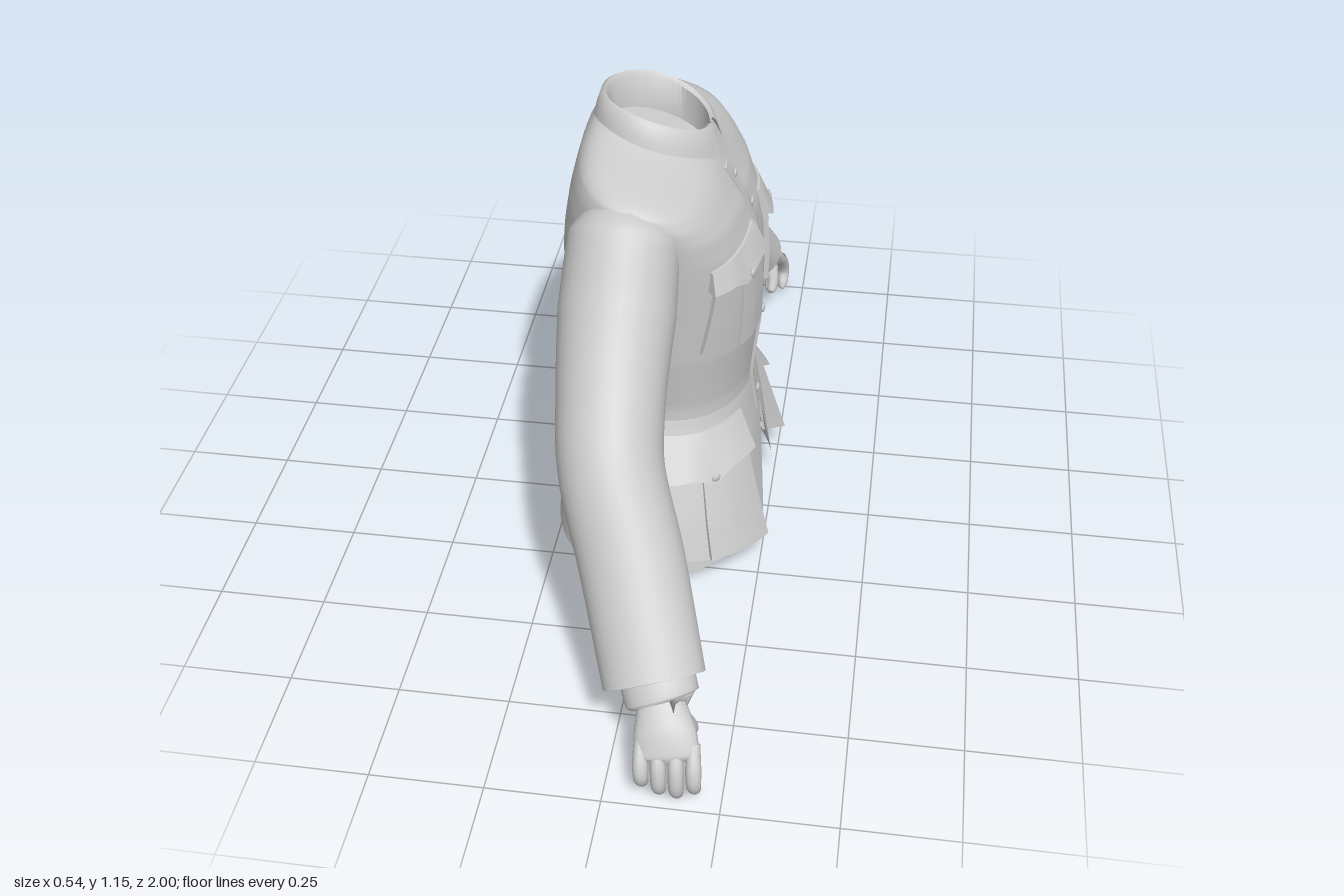
import * as THREE from 'three';
import { mergeVertices, toCreasedNormals } from 'three/addons/utils/BufferGeometryUtils.js';

const cloth = new THREE.MeshStandardMaterial({ color: 0xcccccc, side: THREE.DoubleSide });
const V = (x, y, z) => new THREE.Vector3(x, y, z);
const lerp = THREE.MathUtils.lerp;

// Surface through a grid of points fn(i, j), i around and j along
function grid(fn, nu, nv, crease) {
  const pos = [], idx = [];
  for (let j = 0; j <= nv; j++) for (let i = 0; i <= nu; i++) pos.push(...fn(i, j).toArray());
  for (let j = 0; j < nv; j++) for (let i = 0; i < nu; i++) {
    const a = j * (nu + 1) + i, b = a + nu + 1;
    idx.push(a, b, a + 1, a + 1, b, b + 1);
  }
  let g = new THREE.BufferGeometry();
  g.setAttribute('position', new THREE.Float32BufferAttribute(pos, 3));
  g.setIndex(idx);
  g = mergeVertices(g, 1e-5);
  g.computeVertexNormals();
  return crease ? toCreasedNormals(g, crease) : g;
}

function add(parent, name, geometry) {
  const m = new THREE.Mesh(geometry, cloth);
  m.name = name;
  parent.add(m);
  return m;
}

// Body sections: height, back x, front x, half width, forward tilt, squareness
const BODY = [
  [0.02, -0.27, 0.262, 0.362, 0, 2.2], [0.1, -0.262, 0.25, 0.35, 0, 2.2], [0.2, -0.25, 0.235, 0.33, 0, 2.2],
  [0.3, -0.235, 0.222, 0.301, 0, 2.2], [0.37, -0.217, 0.21, 0.272, 0, 2.2], [0.405, -0.202, 0.205, 0.256, 0, 2.2],
  [0.43, -0.178, 0.2, 0.246, 0, 2.2], [0.46, -0.179, 0.2, 0.246, 0, 2.2], [0.52, -0.192, 0.206, 0.256, 0, 2.2],
  [0.6, -0.215, 0.215, 0.27, 0, 2.25], [0.7, -0.228, 0.216, 0.282, 0, 2.35], [0.8, -0.235, 0.209, 0.295, 0, 2.5],
  [0.87, -0.227, 0.196, 0.305, 0.03, 2.6], [0.94, -0.212, 0.172, 0.316, 0.1, 2.7],
  [0.985, -0.198, 0.15, 0.324, 0.18, 2.6], [1.015, -0.188, 0.135, 0.318, 0.23, 2.4],
  [1.035, -0.178, 0.124, 0.28, 0.26, 2.2], [1.058, -0.165, 0.112, 0.19, 0.29, 2], [1.085, -0.145, 0.095, 0.115, 0.3, 2]];

function section(y) {
  let k = 0;
  while (k < BODY.length - 2 && BODY[k + 1][0] < y) k++;
  const t = THREE.MathUtils.clamp((y - BODY[k][0]) / (BODY[k + 1][0] - BODY[k][0]), 0, 1);
  const [, back, front, hw, tilt, power] = BODY[k].map((n, i) => lerp(n, BODY[k + 1][i], t));
  return { cx: (back + front) / 2, rx: (front - back) / 2, hw, tilt, power };
}

// Point on the body, lifted outwards by off
function bodyPoint(a, y, off = 0) {
  const s = section(y), bend = (n) => Math.sign(n) * Math.abs(n) ** (2 / s.power);
  const x = s.rx * bend(Math.cos(a)), z = s.hw * bend(Math.sin(a));
  const n = V(x / s.rx ** 2, 0, z / s.hw ** 2).normalize();
  return V(s.cx + x + n.x * off, y - s.tilt * (s.cx + x + 0.03), z + n.z * off);
}
function angleAt(z, y) {
  const s = section(y);
  return Math.sign(z) * Math.asin(Math.min(1, Math.abs(z) / s.hw) ** (s.power / 2));
}

// Raised cloth patch on the body; angle(u, y), bottom(u), top(u), thickness(v, u)
function patch(angle, bottom, top, thick, nu = 16, nv = 10) {
  return grid((i, j) => {
    const edge = i === 0 || j === 0 || i === nu + 2 || j === nv + 2;
    const u = THREE.MathUtils.clamp((i - 1) / nu, 0, 1), v = THREE.MathUtils.clamp((j - 1) / nv, 0, 1);
    const y = lerp(bottom(u), top(u), v);
    return bodyPoint(angle(u, y), y, edge ? -0.006 : thick(v, u));
  }, nu + 2, nv + 2, 0.7);
}

// Tube with an elliptical section; each key is [x, y, z, radius along x, other radius]
function limb(keys, nu = 24, nv = 32) {
  const path = new THREE.CatmullRomCurve3(keys.map((k) => V(k[0], k[1], k[2])));
  const rings = [];
  for (let j = 0; j <= nv; j++) {
    const t = j / nv, f = t * (keys.length - 1), k = Math.min(Math.floor(f), keys.length - 2);
    const T = path.getTangent(t), A = V(1, 0, 0).addScaledVector(T, -T.x).normalize();
    rings.push({ c: path.getPoint(t), A, B: A.clone().cross(T),
      ra: lerp(keys[k][3], keys[k + 1][3], f - k), rb: lerp(keys[k][4], keys[k + 1][4], f - k) });
  }
  return grid((i, j) => {
    const r = rings[j], a = (i % nu) / nu * Math.PI * 2;
    return r.c.clone().addScaledVector(r.A, r.ra * Math.cos(a)).addScaledVector(r.B, r.rb * Math.sin(a));
  }, nu, nv);
}

function makeArm() {
  const arm = new THREE.Group();
  add(arm, 'sleeve', limb([
    [-0.055, 0.985, 0.2, 0.06, 0.055], [-0.06, 0.93, 0.255, 0.122, 0.122], [-0.063, 0.795, 0.35, 0.128, 0.127],
    [-0.058, 0.665, 0.468, 0.118, 0.118], [-0.042, 0.555, 0.572, 0.114, 0.112], [0.02, 0.4, 0.69, 0.114, 0.102],
    [0.09, 0.215, 0.842, 0.11, 0.088]], 32, 42));
  add(arm, 'sleeveLining', limb([
    [0.09, 0.215, 0.842, 0.11, 0.088], [0.088, 0.22, 0.838, 0.101, 0.079], [0.06, 0.3, 0.77, 0.08, 0.06]], 32, 8));
  add(arm, 'innerCuff', limb([
    [0.08, 0.255, 0.81, 0.082, 0.066], [0.11, 0.19, 0.865, 0.08, 0.062], [0.112, 0.186, 0.868, 0.07, 0.052],
    [0.09, 0.235, 0.83, 0.06, 0.045]], 24, 12));
  add(arm, 'palm', limb([
    [0.09, 0.25, 0.82, 0.042, 0.032], [0.11, 0.2, 0.885, 0.05, 0.033], [0.125, 0.16, 0.93, 0.066, 0.03],
    [0.135, 0.12, 0.96, 0.068, 0.022], [0.137, 0.108, 0.967, 0.02, 0.008], [0.137, 0.107, 0.967, 0, 0]], 20, 30));
  for (let i = 0; i < 4; i++) {
    const x = 0.076 + i * 0.037, tip = [0.036, 0.018, 0.012, 0.03][i];
    add(arm, 'finger', limb([
      [x, 0.145, 0.942, 0.014, 0.015], [x + 0.004, 0.105, 0.975, 0.017, 0.017],
      [x + 0.006, tip + 0.04, 0.984, 0.016, 0.015], [x + 0.006, tip + 0.012, 0.968, 0.014, 0.013],
      [x + 0.006, tip, 0.959, 0.008, 0.008], [x + 0.006, tip - 0.005, 0.956, 0, 0]], 12, 20));
  }
  add(arm, 'thumb', limb([
    [0.13, 0.19, 0.895, 0.024, 0.024], [0.16, 0.15, 0.885, 0.021, 0.02], [0.172, 0.115, 0.868, 0.016, 0.016],
    [0.17, 0.088, 0.85, 0.012, 0.012], [0.169, 0.082, 0.846, 0, 0]], 12, 20));
  return arm;
}

function makePockets() {
  const side = new THREE.Group();
  const point = (u) => 0.018 * Math.max(0, 1 - Math.abs(u - 0.5) * 5);
  // Chest pocket with pleat and pointed flap
  const chest = (a, b) => (u, y) => lerp(angleAt(a, y), angleAt(b, y), u);
  add(side, 'chestPocket', patch(chest(0.07, 0.25), (u) => 0.612 + 0.02 * Math.abs(2 * u - 1) ** 6,
    () => 0.83, () => 0.012));
  add(side, 'chestPleat', patch(chest(0.14, 0.185), () => 0.622, () => 0.815, (v) => lerp(0.02, 0.016, v), 8));
  add(side, 'chestFlap', patch(chest(0.065, 0.258), (u) => lerp(0.815, 0.8, u) - point(u),
    (u) => lerp(0.885, 0.855, u), (v) => lerp(0.026, 0.006, v), 20, 6));
  // Skirt pocket, standing away from the cloth at its lower edge
  const hip = (a, b) => (u) => lerp(a, b, u);
  add(side, 'skirtPocket', patch(hip(0.53, 1.47), (u) => lerp(0.092, 0.125, u), () => 0.35,
    (v, u) => lerp(lerp(0.054, 0.04, u), 0.014, v)));
  add(side, 'skirtPleat', patch(hip(0.88, 1.1), () => 0.115, () => 0.32, (v) => lerp(0.056, 0.024, v), 8));
  add(side, 'skirtFlap', patch(hip(0.5, 1.49), (u) => lerp(0.315, 0.305, u) - point(u),
    () => 0.398, (v) => lerp(0.036, 0.005, v), 20, 6));
  for (const [a, y, off] of [[angleAt(0.162, 0.805), 0.805, 0.025], [0.995, 0.305, 0.036]]) addButton(side, a, y, off);
  return side;
}

function addButton(parent, a, y, off) {
  const b = add(parent, 'button', new THREE.SphereGeometry(0.011, 14, 8));
  b.scale.z = 0.45;
  b.position.copy(bodyPoint(a, y, off));
  const n = bodyPoint(a, y, off + 1).sub(b.position);
  b.quaternion.setFromUnitVectors(V(0, 0, 1), n.normalize());
}

export function createModel() {
  const model = new THREE.Group(), body = new THREE.Group();
  model.name = 'jacket';
  body.name = 'body';
  body.position.z = -0.01;
  model.add(body);
  const N = 64, TAU = Math.PI * 2;

  // Torso from waist to neck
  add(body, 'torso', grid((i, j) => bodyPoint((i % N) / N * TAU, lerp(0.43, 1.085, j / 56)), N, 56));

  // Skirt with a V opening at the front and a hem that rises forwards
  add(body, 'skirt', grid((i, j) => {
    const t = j / 30, u = i / N, hem = 0.02 + 0.045 * (0.5 + 0.5 * Math.cos(u * TAU));
    const y = lerp(hem, 0.43, t);
    const a = angleAt(Math.max(0, 0.33 - y) * 0.42, y);
    return bodyPoint(lerp(a, TAU - a, u), y);
  }, N, 30));

  // Overlapping front edge, raised on one side only, and its buttons
  add(body, 'placket', patch((u, y) => lerp(angleAt(-0.03, y), angleAt(0.046, y), u),
    () => 0.335, () => 1.03, (v, u) => lerp(-0.004, 0.007, u), 8, 40));
  for (const y of [0.38, 0.61, 0.78, 0.91, 1.0]) addButton(body, angleAt(0.018, y), y, 0.006);

  // Turned-down collar: outer fall, fold and inner stand; rows are x radius, z radius, height, gap
  const rows = [[0.14, 0.14, 1.05, 0.5], [0.147, 0.147, 1.05, 0.5], [0.138, 0.136, 1.09, 0.3],
    [0.127, 0.121, 1.124, 0.14], [0.119, 0.113, 1.13, 0.12], [0.111, 0.104, 1.122, 0.08], [0.109, 0.101, 1.035, 0.02]];
  add(body, 'collar', grid((i, j) => {
    const [rx, rz, h, gap] = rows[j], u = i / N, a = lerp(gap, TAU - gap, u);
    const d = rx * Math.cos(a), end = j < 2 ? Math.abs(2 * u - 1) ** 10 : 0;
    return V(d - 0.025 + 0.018 * end, h - 0.3 * d - 0.8 * d * d - 0.03 * end, rz * Math.sin(a));
  }, N, rows.length - 1, 0.9));

  // Lining that closes the neck below the collar
  add(body, 'neckLining', grid((i, j) => {
    const r = 1 - j / 6, a = (i % N) / N * TAU, d = 0.111 * r * Math.cos(a);
    return V(d - 0.025, 1.04 - 0.3 * d, 0.103 * r * Math.sin(a));
  }, N, 6));

  // Arms and pockets on both sides
  for (const s of [1, -1]) {
    const arm = makeArm(), pockets = makePockets(), side = s > 0 ? 'left' : 'right';
    arm.name = side + 'Arm';
    pockets.name = side + 'Pockets';
    arm.scale.z = pockets.scale.z = s;
    model.add(arm);
    body.add(pockets);
  }
  return model;
}
